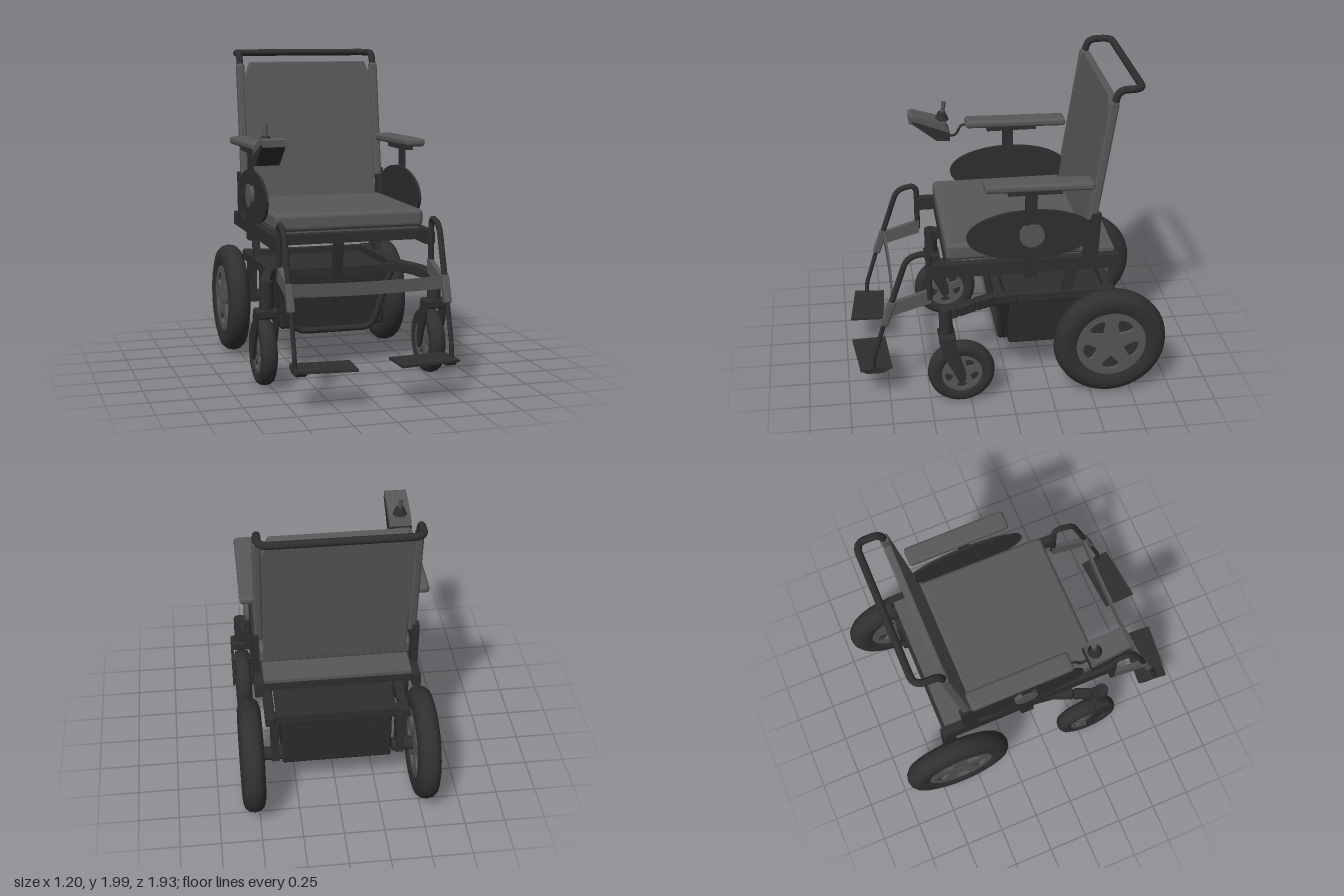
import * as THREE from 'three';
import { RoundedBoxGeometry } from 'three/addons/geometries/RoundedBoxGeometry.js';
import { toCreasedNormals } from 'three/addons/utils/BufferGeometryUtils.js';

const mat = (name, color) => Object.assign(new THREE.MeshStandardMaterial({ color }), { name });
const FRAME = mat('dark frame', 0x2e2e2e);
const TYRE = mat('tyre rubber', 0x303030);
const FABRIC = mat('grey upholstery', 0x585858);
const HUB = mat('hub grey', 0x565656);
const BOX = mat('battery black', 0x2a2a2a);

export function createModel() {
  const model = new THREE.Group();
  model.name = 'powerWheelchair';
  const V = (p) => new THREE.Vector3(...p);

  const add = (name, geo, m, pos = [0, 0, 0], parent = model) => {
    const mesh = new THREE.Mesh(geo, m);
    mesh.name = name;
    mesh.position.set(...pos);
    parent.add(mesh);
    return mesh;
  };
  const box = (name, m, w, h, d, pos, r = 0) =>
    add(name, r ? new RoundedBoxGeometry(w, h, d, 3, r) : new THREE.BoxGeometry(w, h, d), m, pos);
  // Rectangular bar from a to b
  const beam = (name, m, a, b, w, t, r = 0) => {
    const mesh = box(name, m, w, t, V(a).distanceTo(V(b)), V(a).lerp(V(b), 0.5).toArray(), r);
    mesh.lookAt(V(b));
    return mesh;
  };
  // Round tube through points, with rounded corners
  const tube = (name, m, pts, r, bend = 0.05) => {
    const p = pts.map(V), path = new THREE.CurvePath();
    let last = p[0];
    for (let i = 1; i < p.length - 1; i++) {
      const inDir = p[i - 1].clone().sub(p[i]), outDir = p[i + 1].clone().sub(p[i]);
      const d = Math.min(bend, inDir.length() * 0.45, outDir.length() * 0.45);
      const s = p[i].clone().addScaledVector(inDir.normalize(), d);
      const e = p[i].clone().addScaledVector(outDir.normalize(), d);
      path.add(new THREE.LineCurve3(last, s));
      path.add(new THREE.QuadraticBezierCurve3(s, p[i], e));
      last = e;
    }
    path.add(new THREE.LineCurve3(last, p[p.length - 1]));
    return add(name, new THREE.TubeGeometry(path, 64, r, 12), m);
  };
  // Side profile given as [z, y], centred on x with width w
  const sidePlate = (name, m, pts, x, w) => {
    const shape = new THREE.Shape(pts.map(([z, y]) => new THREE.Vector2(z, y)));
    const geo = new THREE.ExtrudeGeometry(shape, { depth: w, bevelEnabled: false });
    geo.rotateY(-Math.PI / 2).translate(x + w / 2, 0, 0);
    return add(name, geo, m);
  };
  // Cylinder lying along x
  const axle = (name, m, r, len, pos, parent) =>
    add(name, new THREE.CylinderGeometry(r, r, len, 32).rotateZ(Math.PI / 2), m, pos, parent);

  // Wheel: rounded tyre, dark core and five-spoke hub
  const wheel = (name, r, hubR, w, pos) => {
    const g = new THREE.Group();
    g.name = name;
    g.position.set(...pos);
    model.add(g);
    const h = w / 2, k = (r - hubR) / 2;
    const profile = [[hubR - 0.01, -h * 0.75], [hubR + k * 0.3, -h * 0.95], [hubR + k, -h], [r - k * 0.45, -h * 0.85],
      [r - k * 0.12, -h * 0.5], [r, 0], [r - k * 0.12, h * 0.5], [r - k * 0.45, h * 0.85], [hubR + k, h],
      [hubR + k * 0.3, h * 0.95], [hubR - 0.01, h * 0.75]];
    const tyre = new THREE.LatheGeometry(profile.map((p) => new THREE.Vector2(...p)), 48);
    add('tyre', tyre.rotateZ(Math.PI / 2), TYRE, [0, 0, 0], g).material.side = THREE.DoubleSide;
    axle('wheelCore', TYRE, hubR - 0.005, w * 0.5, [0, 0, 0], g);
    const shape = new THREE.Shape().absarc(0, 0, hubR, 0, Math.PI * 2);
    for (let i = 0; i < 5; i++) {
      const a = Math.PI / 2 + (i * Math.PI * 2) / 5 + Math.PI / 5;
      const at = (q, da) => new THREE.Vector2(Math.cos(a + da) * q * hubR, Math.sin(a + da) * q * hubR);
      const ring = [at(0.38, 0), at(0.5, 0.22), at(0.66, 0.36), at(0.76, 0.34), at(0.8, 0.17),
        at(0.81, 0), at(0.8, -0.17), at(0.76, -0.34), at(0.66, -0.36), at(0.5, -0.22)];
      shape.holes.push(new THREE.Path(ring));
    }
    const hub = new THREE.ExtrudeGeometry(shape, { depth: w * 0.8, bevelEnabled: false, curveSegments: 32 });
    hub.translate(0, 0, -w * 0.4).rotateY(Math.PI / 2);
    add('spokedHub', toCreasedNormals(hub, 0.6), HUB, [0, 0, 0], g);
    axle('hubCap', HUB, hubR * 0.2, w * 0.84, [0, 0, 0], g);
  };

  // Seat cushion, pan and cross bars
  box('seatCushion', FABRIC, 0.93, 0.11, 0.85, [0, 0.995, -0.04], 0.03);
  box('seatPan', FABRIC, 0.88, 0.022, 1.0, [0, 0.942, -0.14]);
  for (const z of [0.36, 0.1, -0.35, -0.6]) box('seatCrossBar', FRAME, 0.92, 0.06, 0.05, [0, 0.895, z]);
  box('seatMountPlate', FRAME, 0.32, 0.03, 0.3, [0, 0.875, 0.1]);

  // Reclined backrest with clipped top corners
  const back = new THREE.Shape([[-0.42, 0], [0.42, 0], [0.43, 0.82], [0.385, 0.93], [-0.385, 0.93], [-0.43, 0.82]]
    .map((p) => new THREE.Vector2(...p)));
  const backGeo = new THREE.ExtrudeGeometry(back, { depth: 0.03, bevelSize: 0.008, bevelThickness: 0.008, bevelSegments: 2 });
  add('backrest', backGeo, FABRIC, [0, 0.99, -0.475]).rotation.x = -0.155;

  // Push handle
  tube('pushHandle', FRAME, [[-0.455, 1.87, -0.6], [-0.455, 1.975, -0.625], [-0.455, 1.978, -0.77],
    [0.455, 1.978, -0.77], [0.455, 1.975, -0.625], [0.455, 1.87, -0.6]], 0.022, 0.07);

  // Battery box with ribs, and tapered front cover
  box('batteryBox', BOX, 0.68, 0.34, 0.6, [0, 0.43, -0.31], 0.015);
  box('batteryLid', FRAME, 0.74, 0.04, 0.64, [0, 0.61, -0.31], 0.01);
  for (const x of [-0.2, 0.2]) box('batteryRib', BOX, 0.05, 0.26, 0.02, [x, 0.42, -0.615]);
  const cover = new THREE.Shape([[-0.37, 0.6], [-0.25, 0.25], [0.25, 0.25], [0.37, 0.6]].map((p) => new THREE.Vector2(...p)));
  add('frontCover', new THREE.ExtrudeGeometry(cover, { depth: 0.025, bevelEnabled: false }), BOX, [0, 0, -0.012]);
  tube('frontLoop', FRAME, [[-0.38, 0.63, 0.06], [-0.35, 0.56, 0.05], [-0.25, 0.25, 0.025], [0.25, 0.25, 0.025],
    [0.35, 0.56, 0.05], [0.38, 0.63, 0.06]], 0.02, 0.07);
  beam('frontSeatPost', FRAME, [0, 0.41, 0.05], [0, 0.87, 0.13], 0.06, 0.05);
  beam('frontSeatPostSleeve', FRAME, [0, 0.41, 0.05], [0, 0.58, 0.08], 0.075, 0.06);
  box('rearCrossBar', FRAME, 0.84, 0.06, 0.05, [0, 0.64, -0.62]);
  box('frontCrossBar', FRAME, 0.8, 0.05, 0.05, [0, 0.635, 0.06]);

  for (const s of [1, -1]) {
    wheel('driveWheel', 0.352, 0.22, 0.14, [s * 0.532, 0.358, -0.615]);
    wheel('casterWheel', 0.207, 0.13, 0.1, [s * 0.53, 0.215, 0.31]);

    // Caster fork and stem
    add('casterStem', new THREE.CylinderGeometry(0.042, 0.042, 0.18, 24), FRAME, [s * 0.53, 0.57, 0.4]);
    box('forkCrown', FRAME, 0.14, 0.06, 0.1, [s * 0.53, 0.465, 0.395], 0.015);
    for (const dx of [-0.062, 0.062]) {
      sidePlate('forkLeg', FRAME, [[0.45, 0.48], [0.35, 0.48], [0.34, 0.42], [0.29, 0.24], [0.29, 0.18], [0.33, 0.17],
        [0.43, 0.38]], s * 0.53 + dx, 0.016);
    }
    axle('casterAxle', FRAME, 0.02, 0.14, [s * 0.53, 0.215, 0.31]);

    // Base side arm sweeping out to the caster
    const arm = [[0.53, 0.62, 0.41], [0.52, 0.635, 0.33], [0.48, 0.645, 0.22], [0.43, 0.645, 0.1], [0.41, 0.64, -0.05], [0.41, 0.64, -0.66]];
    for (let i = 0; i < arm.length - 1; i++) {
      const [a, b] = [arm[i], arm[i + 1]].map(([x, y, z]) => [s * x, y, z]);
      beam('sideArm', FRAME, a, b, 0.06, 0.07, 0.012);
    }
    // Drive wheel bracket and motor
    box('motorBracket', FRAME, 0.05, 0.3, 0.09, [s * 0.385, 0.48, -0.615]);
    axle('driveAxle', FRAME, 0.042, 0.16, [s * 0.42, 0.36, -0.615]);

    // Seat rail and rear strut
    box('seatRail', FRAME, 0.05, 0.085, 1.14, [s * 0.47, 0.89, -0.09]);
    beam('rearSeatStrut', FRAME, [s * 0.41, 0.64, -0.345], [s * 0.41, 0.87, -0.41], 0.04, 0.06);

    // Back posts
    sidePlate('backPostBase', FRAME, [[-0.44, 0.92], [-0.53, 0.92], [-0.545, 1.21], [-0.49, 1.21], [-0.45, 1.05]], s * 0.475, 0.04);
    beam('backPost', FABRIC, [s * 0.455, 1.16, -0.492], [s * 0.455, 1.91, -0.605], 0.05, 0.055, 0.015);

    // Armrest, post and oval side guard
    beam('armPad', FABRIC, [s * 0.495, 1.422, -0.49], [s * 0.495, 1.434, 0.16], 0.12, 0.05, 0.02);
    box('armPadBracket', FRAME, 0.06, 0.03, 0.32, [s * 0.495, 1.39, -0.14]);
    box('armPost', FRAME, 0.025, 0.56, 0.07, [s * 0.5, 1.11, -0.12]);
    box('armSocket', FRAME, 0.04, 0.2, 0.08, [s * 0.5, 0.925, -0.12]);
    axle('sideGuard', FRAME, 1, 0.016, [s * 0.485, 1.1, -0.12]).scale.set(1, 0.163, 0.385);
    axle('guardKnob', HUB, 0.075, 0.036, [s * 0.5, 1.105, -0.125]);

    // Footrest hanger
    tube('hangerTube', FRAME, [[s * 0.475, 0.7, 0.49], [s * 0.475, 1.02, 0.49], [s * 0.475, 0.99, 0.62],
      [s * 0.475, 0.6, 0.75]], 0.018, 0.1);
    beam('hangerLug', FRAME, [s * 0.475, 0.89, 0.44], [s * 0.475, 0.89, 0.5], 0.04, 0.07);
    sidePlate('hangerGusset', HUB, [[0.48, 0.675], [0.48, 0.765], [0.72, 0.69], [0.74, 0.6]].map(([z, y]) => [z, y]), s * 0.47, 0.03);
    beam('hangerClamp', HUB, [s * 0.475, 0.54, 0.77], [s * 0.475, 0.7, 0.715], 0.045, 0.045, 0.01);
    tube('footrestTube', FRAME, [[s * 0.475, 0.58, 0.76], [s * 0.475, 0.3, 0.845], [s * 0.475, 0.23, 0.845]], 0.014, 0.04);

    // Footplate with shallow keel
    const outline = [[0.475, 0.73], [0.12, 0.755], [0.13, 0.965], [0.495, 0.925]];
    const plate = new THREE.Shape(outline.map(([x, z]) => new THREE.Vector2(s * x, z)));
    add('footplate', new THREE.ExtrudeGeometry(plate, { depth: 0.015, bevelEnabled: false }).rotateX(Math.PI / 2), FRAME, [0, 0.24, 0]);
    sidePlate('footplateKeel', FRAME, [[0.74, 0.228], [0.93, 0.228], [0.89, 0.2], [0.79, 0.2]], s * 0.45, 0.06);
  }

  // Calf strap, bowed slightly
  const strap = new THREE.BoxGeometry(0.94, 0.075, 0.014, 24, 1, 1);
  const sp = strap.attributes.position;
  for (let i = 0; i < sp.count; i++) {
    const q = 1 - (sp.getX(i) / 0.47) ** 2;
    sp.setY(i, sp.getY(i) - 0.012 * q);
    sp.setZ(i, sp.getZ(i) - 0.012 * q);
  }
  strap.computeVertexNormals();
  add('calfStrap', strap, HUB, [0, 0.658, 0.715]);

  // Joystick controller on the right arm
  sidePlate('controllerBase', FRAME, [[0.515, 1.47], [0.35, 1.34], [0.265, 1.335], [0.265, 1.39], [0.5, 1.48]], -0.505, 0.145);
  sidePlate('controllerTop', HUB, [[0.525, 1.465], [0.525, 1.505], [0.5, 1.515], [0.29, 1.45], [0.265, 1.38], [0.5, 1.46]], -0.505, 0.14);
  add('joystickBoot', new THREE.CylinderGeometry(0.025, 0.045, 0.05, 24), FRAME, [-0.505, 1.485, 0.31]);
  add('joystick', new THREE.CylinderGeometry(0.016, 0.011, 0.08, 16), HUB, [-0.505, 1.54, 0.3]).rotation.x = -0.12;
  tube('controllerArm', FRAME, [[-0.505, 1.345, 0.28], [-0.505, 1.345, 0.22], [-0.505, 1.415, 0.185], [-0.505, 1.415, 0.1]], 0.008, 0.02);

  return model;
}
